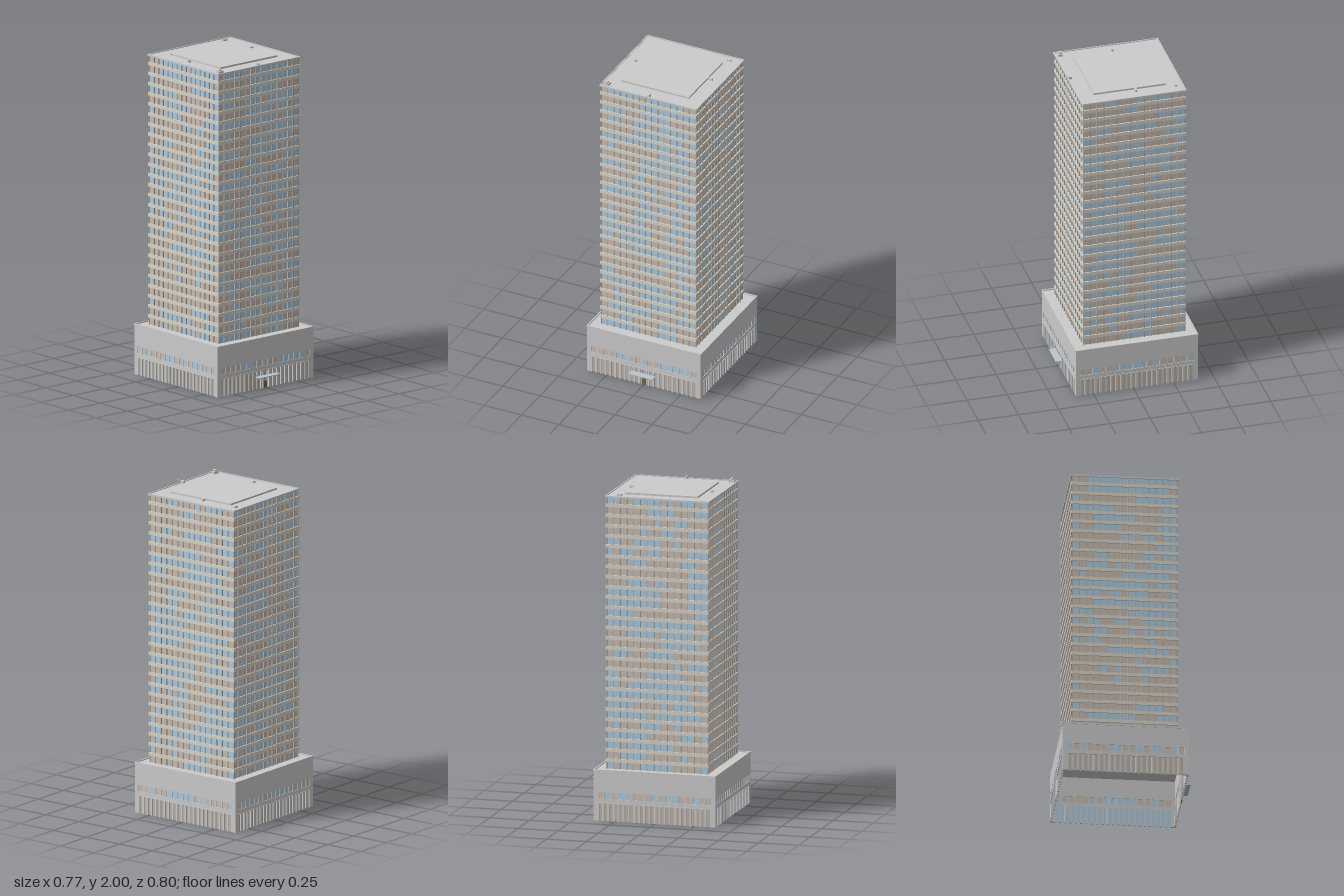
import * as THREE from 'three';
import { mergeGeometries } from 'three/addons/utils/BufferGeometryUtils.js';

const CZ = -0.021;            // plan centre of podium and tower
const P = 0.38, PT = 0.31;    // podium half width and height
const T = 0.322, TOP = 1.975; // tower half width and roof level
const FLOORS = 27, BAYS = 15, BAY = 0.042;

const mat = (color, side = THREE.FrontSide) =>
  new THREE.MeshStandardMaterial({ color, side });
const grey = mat(0xcccccc);
const bandMat = mat(0xd8d4c8);
const tan = mat(0xc8bcb0, THREE.DoubleSide);
const blue = mat(0xa9cbe2, THREE.DoubleSide);
const brown = mat(0x7d6242);

// Small seeded generator for lit and shaded panes
let seed = 7;
const rand = () => (seed = (seed * 16807) % 2147483647) / 2147483647;

const box = (w, h, d, x, y, z) => new THREE.BoxGeometry(w, h, d).translate(x, y, z);
const pane = (w, h, x, y, z) => new THREE.PlaneGeometry(w, h).translate(x, y, z);

// Square ring extruded upward from y0
function ring(outer, inner, y0, h) {
  const sq = (C, r) => new C([[-r, -r], [r, -r], [r, r], [-r, r]].map(p => new THREE.Vector2(...p)));
  const s = sq(THREE.Shape, outer);
  s.holes.push(sq(THREE.Path, inner));
  return new THREE.ExtrudeGeometry(s, { depth: h, bevelEnabled: false })
    .rotateX(-Math.PI / 2).translate(0, y0, 0);
}

export function createModel() {
  const model = new THREE.Group();
  model.name = 'officeTower';
  const building = new THREE.Group();
  building.name = 'building';
  building.position.z = CZ;
  model.add(building);

  const add = (parent, name, geos, material) => {
    const list = [].concat(geos);
    const m = new THREE.Mesh(list.length > 1 ? mergeGeometries(list) : list[0], material);
    m.name = name;
    parent.add(m);
    return m;
  };
  // Builds a part on the front face, then turns it to face k
  const turn = (g, k) => g.rotateY(k * Math.PI / 2);

  // ---- Podium: hollow below, one wall per side ----
  const litBays = [
    [-4, -3, 0, 3, 4, 5, 6, 7], [-6, -3, -2, -1, 0, 1, 3, 8],
    [-7, -5, -4, 0, 2, 3, 6], [-8, -6, -2, -1, 2, 4, 5, 7],
  ];
  const walls = [], columns = [], podiumBlue = [], podiumTan = [], innerGlass = [], shopPanels = [], sills = [];
  for (let k = 0; k < 4; k++) {
    // Upper wall with a row of window openings
    const s = new THREE.Shape();
    s.moveTo(-P, 0.11).lineTo(P, 0.11).lineTo(P, PT - 0.005).lineTo(-P, PT - 0.005);
    for (let i = -8; i <= 8; i++) {
      const x = i * BAY, w = 0.0165, h = new THREE.Path();
      h.moveTo(x - w, 0.136).lineTo(x - w, 0.177).lineTo(x + w, 0.177).lineTo(x + w, 0.136);
      s.holes.push(h);
      const lit = litBays[k].includes(i);
      (lit ? podiumBlue : podiumTan).push(turn(pane(0.034, 0.042, x, 0.1565, P - 0.004), k));
    }
    walls.push(turn(new THREE.ExtrudeGeometry(s, { depth: 0.008, bevelEnabled: false }).translate(0, 0, P - 0.008), k));
    // Ground floor colonnade with panels behind it
    for (const e of [-1, 1]) columns.push(turn(box(0.028, 0.11, 0.012, e * (P - 0.014), 0.055, P - 0.006), k));
    for (let i = 0; i <= 22; i++) {
      const x = -0.352 + i * 0.032;
      if (k === 0 && Math.abs(x) < 0.01) continue;
      columns.push(turn(box(0.012, 0.11, 0.012, x, 0.055, P - 0.006), k));
    }
    shopPanels.push(turn(pane(0.71, 0.11, 0, 0.055, P - 0.008), k));
    innerGlass.push(turn(pane(0.71, 0.11, 0, 0.055, P - 0.01), k));
    sills.push(turn(box(0.7, 0.004, 0.004, 0, 0.11, P + 0.001), k));
  }
  add(building, 'podiumWalls', walls, grey);
  add(building, 'groundFloorColumns', columns, grey);
  add(building, 'groundFloorPanels', shopPanels, mat(0xbdb2a6));
  add(building, 'groundFloorGlass', innerGlass, blue);
  add(building, 'podiumLintels', sills, grey);
  add(building, 'podiumWindowsBlue', podiumBlue, blue);
  add(building, 'podiumWindowsTan', podiumTan, tan);
  add(building, 'podiumRoof', box(2 * P - 0.01, 0.006, 2 * P - 0.01, 0, PT - 0.006, 0), grey);
  add(building, 'podiumParapet', ring(P + 0.002, P - 0.006, PT - 0.006, 0.01), grey);

  // ---- Entrance: door, canopy and its hangers ----
  add(building, 'door', box(0.025, 0.042, 0.008, 0, 0.021, P - 0.004), brown);
  add(building, 'doorSurround', [-1, 1].map(e => box(0.006, 0.1, 0.01, e * 0.017, 0.05, P - 0.005)), grey);
  add(building, 'canopy', box(0.16, 0.005, 0.041, 0, 0.076, P + 0.0205), mat(0xb9c6ce));
  add(building, 'canopyHangers', [-1, 1].map(e => {
    const path = new THREE.LineCurve3(new THREE.Vector3(e * 0.072, 0.108, P), new THREE.Vector3(e * 0.077, 0.078, P + 0.036));
    return new THREE.TubeGeometry(path, 1, 0.0012, 6);
  }), grey);

  // ---- Tower: core, spandrel bands, mullions and panes ----
  const pitch = (TOP - PT + 0.021) / FLOORS, winH = pitch - 0.021;
  add(building, 'towerCore', box(2 * T - 0.018, TOP - PT, 2 * T - 0.018, 0, (TOP + PT) / 2, 0), grey);
  const bands = [], mullions = [], blues = [], tans = [];
  for (let f = 0; f < FLOORS; f++) {
    const y = PT + f * pitch;
    if (f < FLOORS - 1) bands.push(box(2 * T, 0.021, 2 * T, 0, y + winH + 0.0105, 0));
    for (let k = 0; k < 4; k++) {
      let lit = rand() < 0.55;
      for (let b = 0; b < BAYS; b++) {
        if (rand() < 0.55) lit = rand() < 0.55;
        const x = (b - (BAYS - 1) / 2) * BAY;
        (lit ? blues : tans).push(turn(pane(BAY, winH, x, y + winH / 2, T - 0.0075), k));
      }
    }
  }
  for (let k = 0; k < 4; k++) for (let b = 0; b < BAYS; b++) {
    mullions.push(turn(box(0.005, TOP - PT, 0.007, (b - BAYS / 2) * BAY, (TOP + PT) / 2, T - 0.005), k));
  }
  add(building, 'spandrelBands', bands, bandMat);
  add(building, 'mullions', mullions, mat(0xb5aca4));
  add(building, 'towerWindowsBlue', blues, blue);
  add(building, 'towerWindowsTan', tans, tan);

  // ---- Roof: slab, parapet, raised deck and equipment ----
  const roof = new THREE.Group();
  roof.name = 'roof';
  model.add(roof);
  add(building, 'roofSlab', box(2 * T, 0.004, 2 * T, 0, TOP - 0.001, 0), grey);
  add(building, 'roofParapet', ring(T + 0.003, T - 0.004, TOP - 0.005, 0.011), grey);
  add(roof, 'raisedDeck', box(0.45, 0.014, 0.45, 0, TOP + 0.005, -0.02), grey);
  add(roof, 'deckCornerPosts', [-1, 1].flatMap(a => [-1, 1].map(b =>
    box(0.005, 0.015, 0.005, a * 0.225, TOP + 0.005, -0.02 + b * 0.225))), grey);
  add(roof, 'roofVents', [
    box(0.028, 0.014, 0.013, 0.243, TOP + 0.007, -0.052),
    box(0.019, 0.014, 0.014, -0.258, TOP + 0.007, -0.045),
    box(0.028, 0.012, 0.014, 0.246, TOP + 0.006, -0.298),
  ], grey);
  add(roof, 'tankBase', box(0.036, 0.016, 0.028, -0.289, TOP + 0.007, 0.272), grey);
  add(roof, 'tank', new THREE.CylinderGeometry(0.011, 0.011, 0.012, 16).translate(-0.289, 1.994, 0.272), grey);
  add(roof, 'boomBase', box(0.015, 0.018, 0.018, 0, TOP + 0.009, 0.288), grey);
  add(roof, 'boom', new THREE.CylinderGeometry(0.0015, 0.0015, 0.04, 8)
    .rotateX(Math.PI / 2).translate(0, 1.99, 0.311), grey);

  return model;
}
